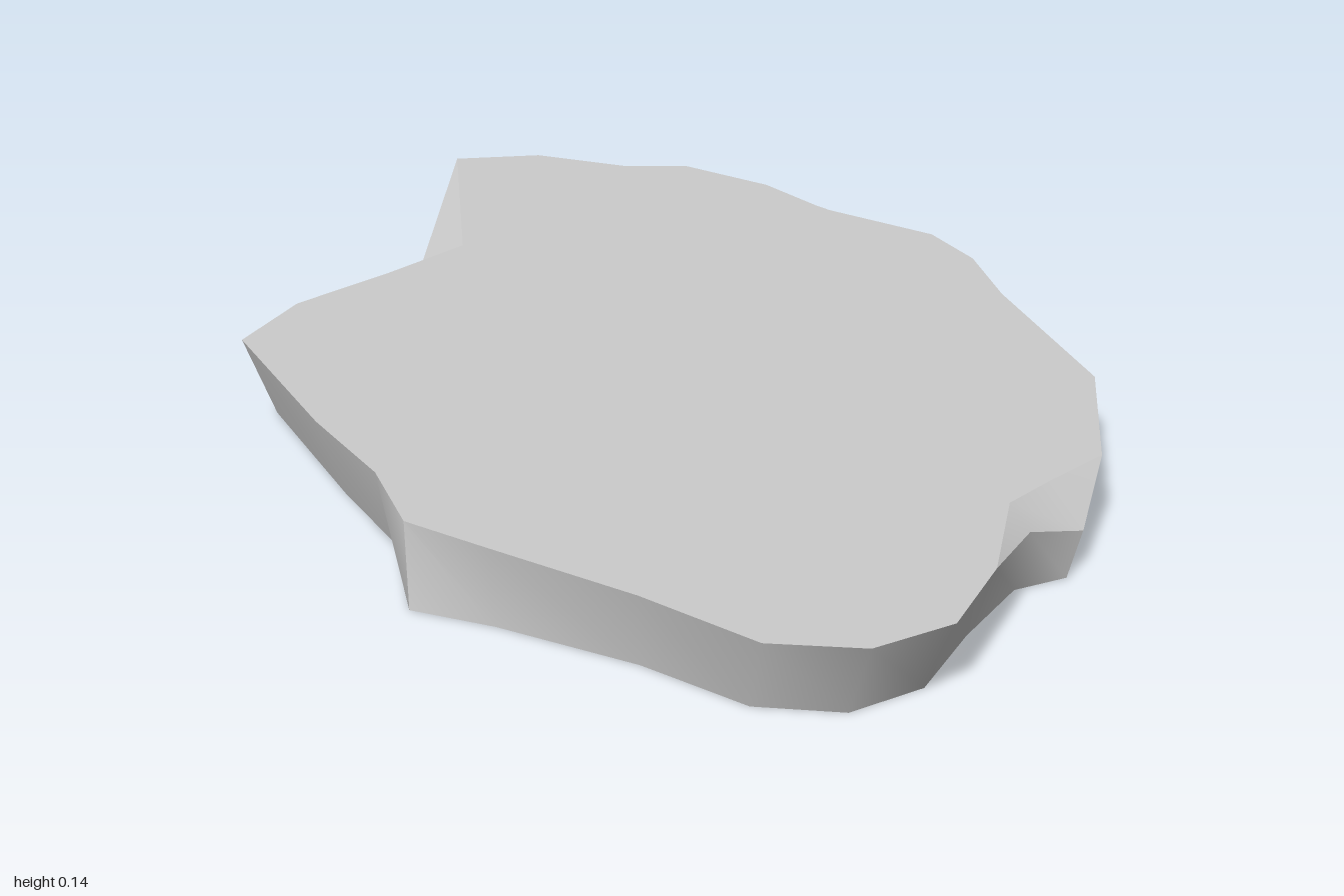
import * as THREE from 'three';
import { toCreasedNormals } from 'three/addons/utils/BufferGeometryUtils.js';

const TOP = 0.14;

// Outline stations, clockwise from above, starting at the back tip:
// rim [x, z, y?], foot [x, z], and an inner point where the rim is chipped away
const stations = [
  { rim: [-0.24, -1.0], foot: [-0.22, -0.86] },
  { rim: [-0.07, -0.99], foot: [-0.06, -0.86] },
  { rim: [0.1, -0.89], foot: [0.08, -0.79] },
  { rim: [0.22, -0.87], foot: [0.2, -0.77] },
  { rim: [0.36, -0.73], foot: [0.33, -0.67] },
  { rim: [0.43, -0.6], foot: [0.42, -0.59] },
  { rim: [0.45, -0.57], foot: [0.54, -0.55] },
  { rim: [0.61, -0.41], foot: [0.59, -0.4] },
  { rim: [0.65, -0.28], foot: [0.61, -0.27] },
  { rim: [0.65, -0.11], foot: [0.61, -0.1] },
  { rim: [0.69, 0.25], foot: [0.635, 0.24] },
  { rim: [0.6, 0.52], foot: [0.55, 0.48] },
  { rim: [0.53, 0.64, 0.08], foot: [0.51, 0.64], inner: [0.5, 0.58] },
  { rim: [0.43, 0.68, 0.11], foot: [0.42, 0.66], inner: [0.41, 0.64] },
  { rim: [0.33, 0.82], foot: [0.31, 0.77] },
  { rim: [0.23, 0.95], foot: [0.21, 0.89] },
  { rim: [0.1, 0.99], foot: [0.09, 0.93] },
  { rim: [-0.04, 0.95], foot: [-0.04, 0.89] },
  { rim: [-0.18, 0.8], foot: [-0.17, 0.76] },
  { rim: [-0.37, 0.63], foot: [-0.36, 0.62] },
  { rim: [-0.48, 0.53], foot: [-0.48, 0.55] },
  { rim: [-0.51, 0.37], foot: [-0.48, 0.36] },
  { rim: [-0.59, 0.18], foot: [-0.55, 0.17] },
  { rim: [-0.7, -0.16], foot: [-0.65, -0.15] },
  { rim: [-0.6, -0.3], foot: [-0.56, -0.28] },
  { rim: [-0.43, -0.41], foot: [-0.42, -0.39] },
  { rim: [-0.38, -0.44, 0.1], foot: [-0.37, -0.44], inner: [-0.28, -0.52] },
];

const at = ([x, z, y], level) => [x, y ?? level, z];
const rim = stations.map((s) => at(s.rim, TOP));
const foot = stations.map((s) => at(s.foot, 0));
const crown = stations.map((s) => at(s.inner ?? s.rim.slice(0, 2), TOP));

// Closed strip of quads between an upper and a lower loop, skipping empty triangles
function strip(upper, lower, crease) {
  const positions = [];
  const tri = (...pts) => {
    const [a, b, c] = pts.map((p) => new THREE.Vector3(...p));
    if (new THREE.Triangle(a, b, c).getArea() > 1e-6) positions.push(...pts.flat());
  };
  upper.forEach((u, i) => {
    const j = (i + 1) % upper.length;
    tri(u, upper[j], lower[i]);
    tri(upper[j], lower[j], lower[i]);
  });
  const geo = new THREE.BufferGeometry();
  geo.setAttribute('position', new THREE.Float32BufferAttribute(positions, 3));
  geo.computeVertexNormals();
  return toCreasedNormals(geo, crease);
}

// Flat face filling a loop; side is 1 for facing up, -1 for facing down
function cap(loop, side, y) {
  const shape = new THREE.Shape(loop.map(([x, , z]) => new THREE.Vector2(x, -side * z)));
  return new THREE.ShapeGeometry(shape).rotateX((-side * Math.PI) / 2).translate(0, y, 0);
}

export function createModel() {
  const group = new THREE.Group();
  group.name = 'stoneSlab';
  const material = new THREE.MeshStandardMaterial({ color: 0xcccccc, side: THREE.DoubleSide });
  const add = (name, geometry) => {
    const mesh = new THREE.Mesh(geometry, material);
    mesh.name = name;
    group.add(mesh);
  };

  add('topFace', cap(crown, 1, TOP));
  add('chippedEdges', strip(crown, rim, 0.6));
  add('sideWall', strip(rim, foot, 0.7));
  add('underside', cap(foot, -1, 0));
  return group;
}
